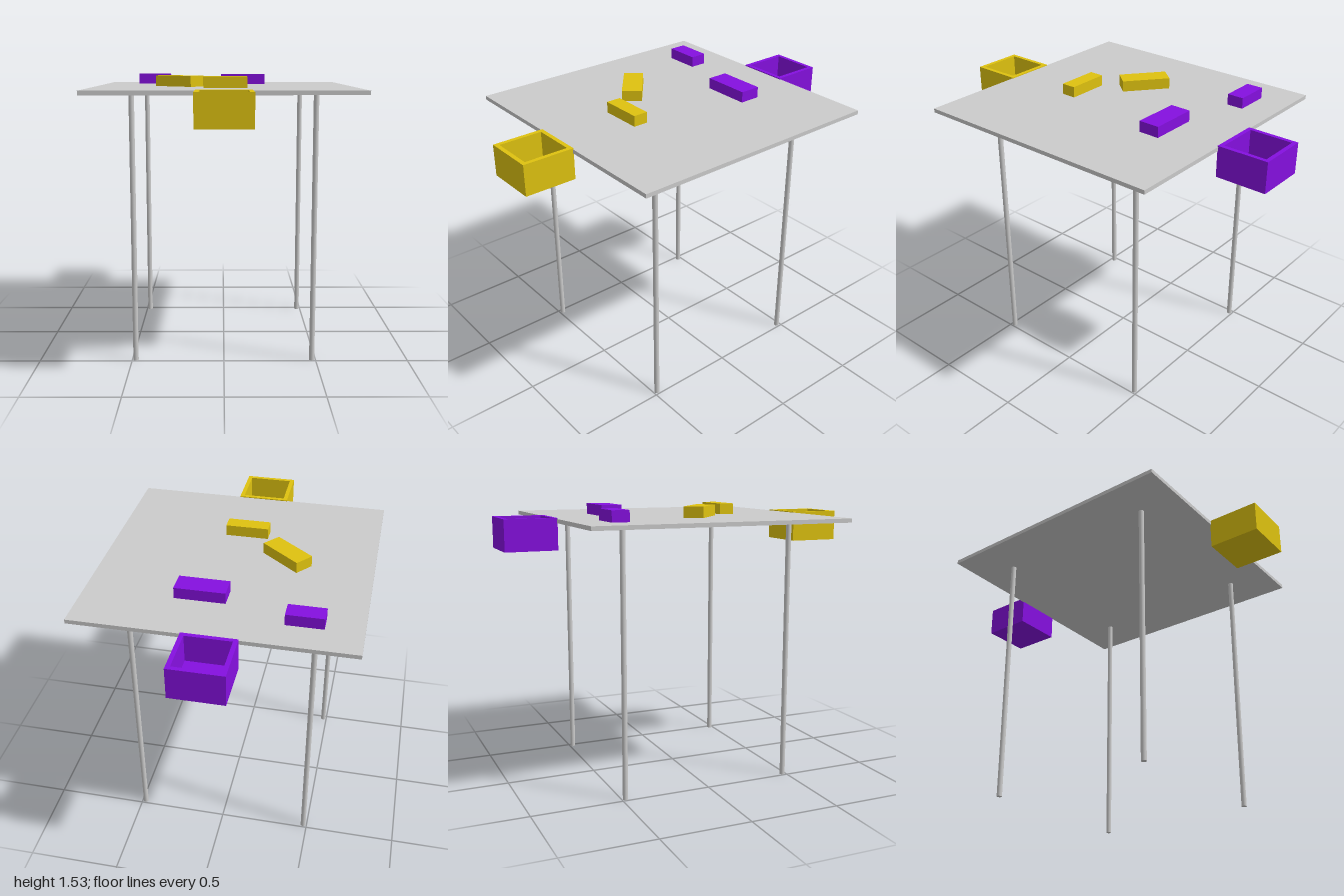
import * as THREE from 'three';

const grey = new THREE.MeshStandardMaterial({ color: 0xcccccc });
const yellow = new THREE.MeshStandardMaterial({ color: 0xdec210 });
const purple = new THREE.MeshStandardMaterial({ color: 0x8510df });

const TOP = 1.467;      // upper surface of the table
const THICK = 0.022;

function add(parent, name, geometry, material, x, y, z) {
  const mesh = new THREE.Mesh(geometry, material);
  mesh.name = name;
  mesh.position.set(x, y, z);
  parent.add(mesh);
  return mesh;
}

// Open-topped bin: extruded square ring for the walls, plus a floor panel
function createBin(name, material, z) {
  const bin = new THREE.Group();
  bin.name = name;
  const outer = 0.142, inner = 0.119, height = 0.17, floor = 0.022;
  const square = (Type, r) => new Type([[-r, -r], [r, -r], [r, r], [-r, r]]
    .map(([x, y]) => new THREE.Vector2(x, y)));
  const ring = square(THREE.Shape, outer);
  ring.holes.push(square(THREE.Path, inner));
  const walls = new THREE.ExtrudeGeometry(ring, { depth: height, bevelEnabled: false });
  walls.rotateX(-Math.PI / 2);
  add(bin, 'binWalls', walls, material, 0, 0, 0);
  add(bin, 'binFloor', new THREE.BoxGeometry(inner * 2, floor, inner * 2), material, 0, floor / 2, 0);
  bin.position.set(0, 1.302, z);
  return bin;
}

export function createModel() {
  const model = new THREE.Group();
  model.name = 'sortingTable';

  // Table top
  add(model, 'tableTop', new THREE.BoxGeometry(1.44, THICK, 1.44), grey, 0, TOP - THICK / 2, 0);

  // Four slim round legs
  const legHeight = TOP - THICK;
  const leg = new THREE.CylinderGeometry(0.0145, 0.0145, legHeight, 24);
  for (const x of [-0.48, 0.48])
    for (const z of [-0.48, 0.48]) add(model, 'leg', leg, grey, x, legHeight / 2, z);

  // One bin on each end
  model.add(createBin('frontBin', yellow, 0.858), createBin('backBin', purple, -0.858));

  // Loose blocks: name, material, x, z, length, width, turn
  const blockHeight = 0.06;
  const blocks = [
    ['yellowBlock', yellow, 0.008, 0.289, 0.236, 0.082, 0],
    ['turnedYellowBlock', yellow, -0.25, 0.053, 0.266, 0.109, -0.69],
    ['longPurpleBlock', purple, 0.116, -0.372, 0.266, 0.117, 0],
    ['shortPurpleBlock', purple, -0.429, -0.504, 0.194, 0.094, 0],
  ];
  for (const [name, material, x, z, length, width, turn] of blocks) {
    const geometry = new THREE.BoxGeometry(length, blockHeight, width);
    add(model, name, geometry, material, x, TOP + blockHeight / 2, z).rotation.y = turn;
  }

  return model;
}
